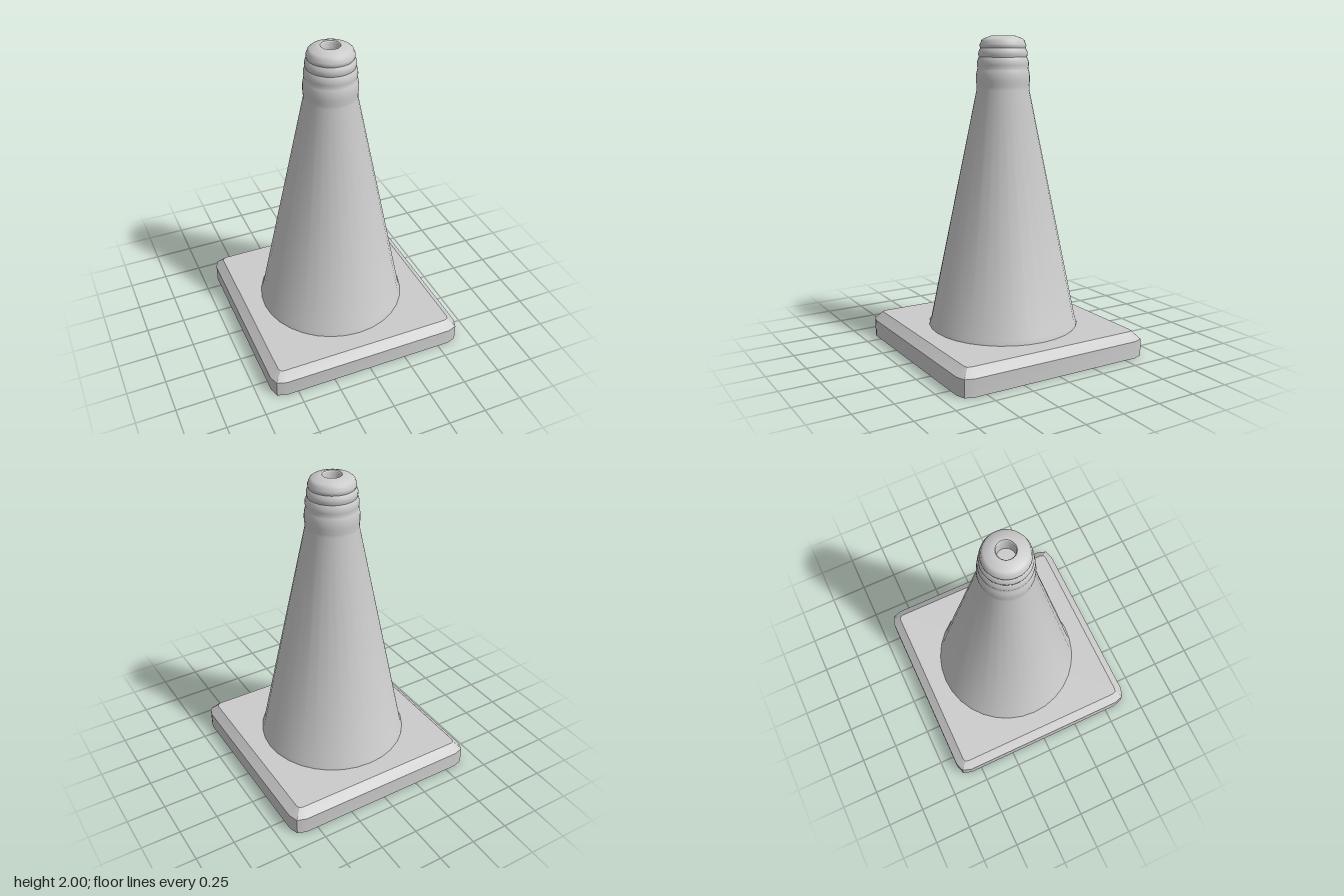
import * as THREE from 'three';
import { toCreasedNormals } from 'three/addons/utils/BufferGeometryUtils.js';

const material = new THREE.MeshStandardMaterial({ color: 0xcccccc });

function addMesh(group, name, geometry) {
  const mesh = new THREE.Mesh(geometry, material);
  mesh.name = name;
  group.add(mesh);
}

// Square outline with two-step chamfered corners, counter-clockwise seen from above
function squareRing(half, y, cut, inset) {
  const corner = [[half, half - cut], [half - inset, half - inset], [half - cut, half]];
  const ring = [];
  for (let q = 0; q < 4; q++) {
    const c = Math.round(Math.cos(q * Math.PI / 2)), s = Math.round(Math.sin(q * Math.PI / 2));
    for (const [a, b] of corner) ring.push([a * c - b * s, y, -(a * s + b * c)]);
  }
  return ring;
}

// Joins the rings with quads and caps both ends
function loft(rings) {
  const n = rings[0].length, index = [];
  const points = rings.flat();
  for (let r = 0; r < rings.length - 1; r++) {
    for (let i = 0; i < n; i++) {
      const a = r * n + i, b = r * n + (i + 1) % n;
      index.push(a, b, b + n, a, b + n, a + n);
    }
  }
  const top = (rings.length - 1) * n;
  for (let i = 1; i < n - 1; i++) {
    index.push(0, i + 1, i, top, top + i, top + i + 1);
  }
  const geometry = new THREE.BufferGeometry();
  geometry.setAttribute('position', new THREE.Float32BufferAttribute(points.flat(), 3));
  geometry.setIndex(index);
  return toCreasedNormals(geometry, 0.5);
}

export function createModel() {
  const group = new THREE.Group();
  group.name = 'trafficCone';

  // Square foot with a bevelled upper edge
  addMesh(group, 'base', loft([
    squareRing(0.655, 0, 0.08, 0.02),
    squareRing(0.655, 0.11, 0.08, 0.02),
    squareRing(0.6, 0.16, 0.03, 0.008),
  ]));

  // Tapered body with a small flare where it meets the base
  const profile = [[0.482, 0.155], [0.48, 0.17], [0.47, 0.19], [0.165, 1.67]];

  // Ribbed collar: stacked rounded bands that shrink upward
  const bands = [[0.168, 1.69, 1.79], [0.161, 1.80, 1.86], [0.153, 1.87, 1.915], [0.144, 1.925, 1.96]];
  for (const [r, low, high] of bands) {
    profile.push([r - 0.003, low], [r + 0.001, low + (high - low) * 0.35],
      [r, low + (high - low) * 0.7], [r - 0.006, high]);
  }

  // Rounded lip, then down into the closed hole
  profile.push([0.135, 1.972], [0.122, 1.983], [0.075, 2], [0.06, 2], [0.055, 1.994], [0.055, 1.9], [0, 1.9]);
  const cone = new THREE.LatheGeometry(profile.map(([r, y]) => new THREE.Vector2(r, y)), 32);
  addMesh(group, 'cone', toCreasedNormals(cone, 0.7));
  return group;
}
